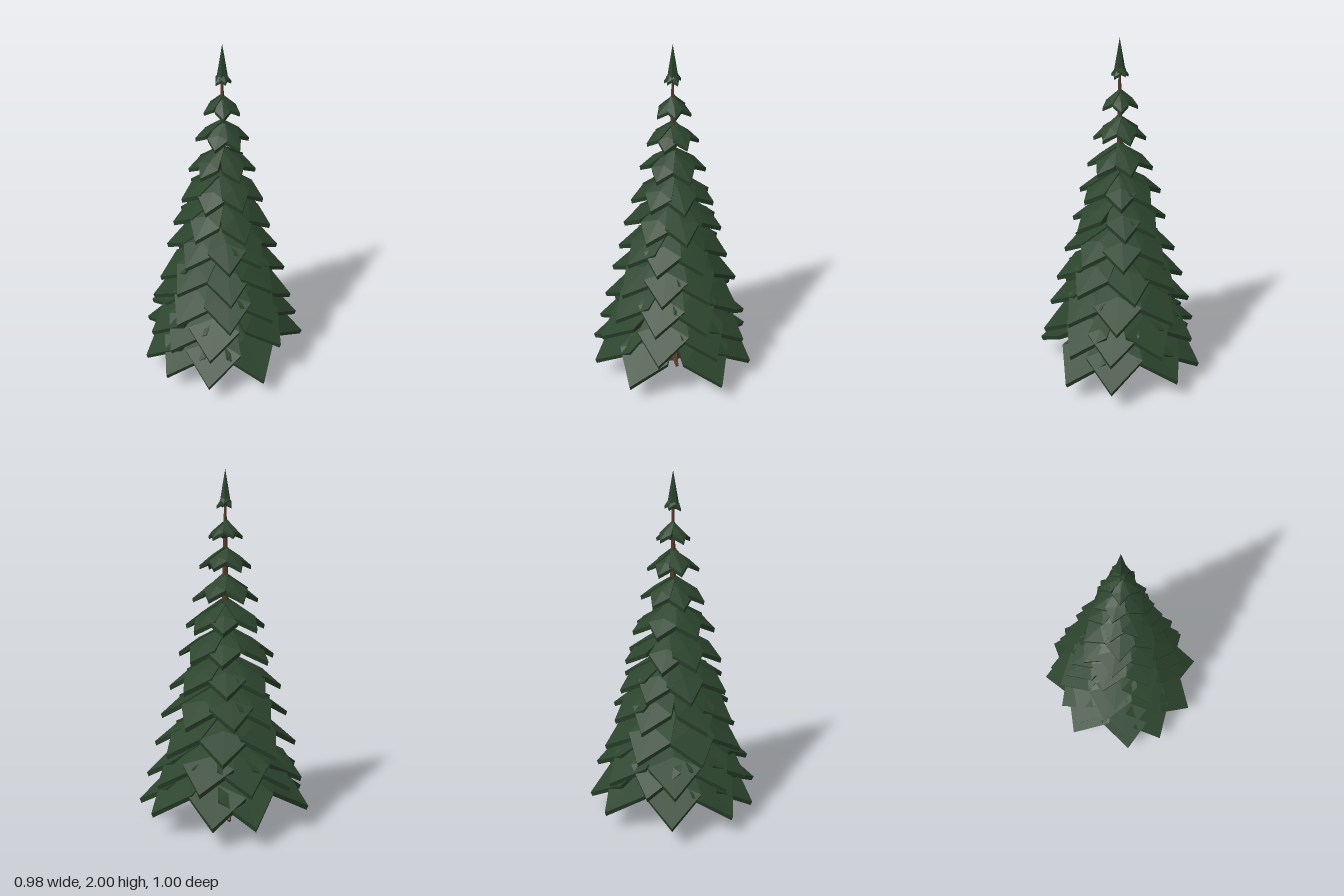
import * as THREE from 'three';

const needles = new THREE.MeshStandardMaterial({ color: 0x2b432c, flatShading: true });
needles.name = 'needle green';
const bark = new THREE.MeshStandardMaterial({ color: 0x583b2b, flatShading: true });
bark.name = 'bark brown';

// Kite-shaped drooping bough pointing along +x, its tip near y = 0,
// thin at the rim and thick where it meets the trunk
function boughGeometry(R, drop) {
  const t = Math.min(0.026, 0.012 + R * 0.06);
  const root = Math.min(0.1, drop * 0.85);
  const w = 0.3 * R + 0.012; // half width; the tip is a right angle
  // Each point: x, y, z, thickness
  const hub = [0.55 * R, 0.6 * drop, 0, t + root * 0.3];
  const ring = [
    [0.01 * R, drop, -0.1 * R, root],
    [R - w, 0.46 * drop, -w, t],
    [R, t, 0, t],
    [R - w, 0.46 * drop, w, t],
    [0.01 * R, drop, 0.1 * R, root],
  ];
  const upper = ([x, y, z]) => [x, y, z];
  const lower = ([x, y, z, d]) => [x * 0.98, y - d, z * 0.97];
  const pos = [];
  ring.forEach((p, i) => {
    const q = ring[(i + 1) % ring.length];
    const a = upper(p), b = upper(q), la = lower(p), lb = lower(q);
    pos.push(...upper(hub), ...b, ...a); // upper face
    pos.push(...lower(hub), ...la, ...lb); // underside
    pos.push(...a, ...b, ...la, ...b, ...lb, ...la); // rim
  });
  const g = new THREE.BufferGeometry();
  g.setAttribute('position', new THREE.Float32BufferAttribute(pos, 3));
  g.computeVertexNormals();
  return g;
}

export function createModel() {
  const tree = new THREE.Group();
  tree.name = 'tree';

  let seed = 7;
  const rand = () => (seed = (seed * 16807) % 2147483647) / 2147483647;

  // Trunk
  const trunk = new THREE.Mesh(new THREE.CylinderGeometry(0.006, 0.05, 1.84, 8), bark);
  trunk.name = 'trunk';
  trunk.position.y = 0.93;
  tree.add(trunk);

  // Flared roots
  const up = new THREE.Vector3(0, 1, 0);
  for (let i = 0; i < 6; i++) {
    const a = (i / 6) * Math.PI * 2 + 0.12;
    const from = new THREE.Vector3(Math.cos(a) * 0.035, 0.06, Math.sin(a) * 0.035);
    const to = new THREE.Vector3(Math.cos(a) * 0.105, 0.01, Math.sin(a) * 0.105);
    const dir = to.clone().sub(from);
    const root = new THREE.Mesh(new THREE.CylinderGeometry(0.01, 0.02, dir.length(), 5), bark);
    root.name = 'root';
    root.position.copy(from).add(to).multiplyScalar(0.5);
    root.quaternion.setFromUnitVectors(up, dir.normalize());
    tree.add(root);
  }

  // Tiers of boughs: [tip radius, tip height, bough count]
  const tiers = [
    [0.5, 0.09, 9], [0.455, 0.25, 10], [0.412, 0.42, 8], [0.37, 0.59, 8], [0.32, 0.76, 8],
    [0.28, 0.93, 7], [0.235, 1.1, 7], [0.185, 1.265, 6], [0.145, 1.44, 6], [0.102, 1.61, 5],
    [0.048, 1.785, 5],
  ];
  // Bearings in degrees for the lowest tiers; the others are spread with jitter
  const bearings = [
    [-12.6, 52, 90, 122, 147, 190, 240.6, 268, 315],
    [-12, 32.5, 90, 122, 148, 188, 208, 242, 278, 316],
    [-5, 36, 75, 120, 166, 218, 262, 312],
  ];
  tiers.forEach(([R, tipY, count], k) => {
    const tier = new THREE.Group();
    tier.name = 'boughTier' + (k + 1);
    const geometry = boughGeometry(R, 0.05 + 0.54 * R);
    for (let i = 0; i < count; i++) {
      const deg = bearings[k] ? bearings[k][i] : (i + (rand() - 0.5) * 0.35) * (360 / count) + k * 47 + 25;
      const bough = new THREE.Mesh(geometry, needles);
      bough.name = 'bough';
      bough.position.y = tipY + (i % 3) * 0.006;
      bough.rotation.y = -THREE.MathUtils.degToRad(deg);
      tier.add(bough);
    }
    tree.add(tier);
  });

  // Pointed leader at the crown
  const leader = new THREE.Mesh(new THREE.ConeGeometry(0.034, 0.19, 6), needles);
  leader.name = 'leader';
  leader.position.y = 1.905;
  tree.add(leader);

  return tree;
}
